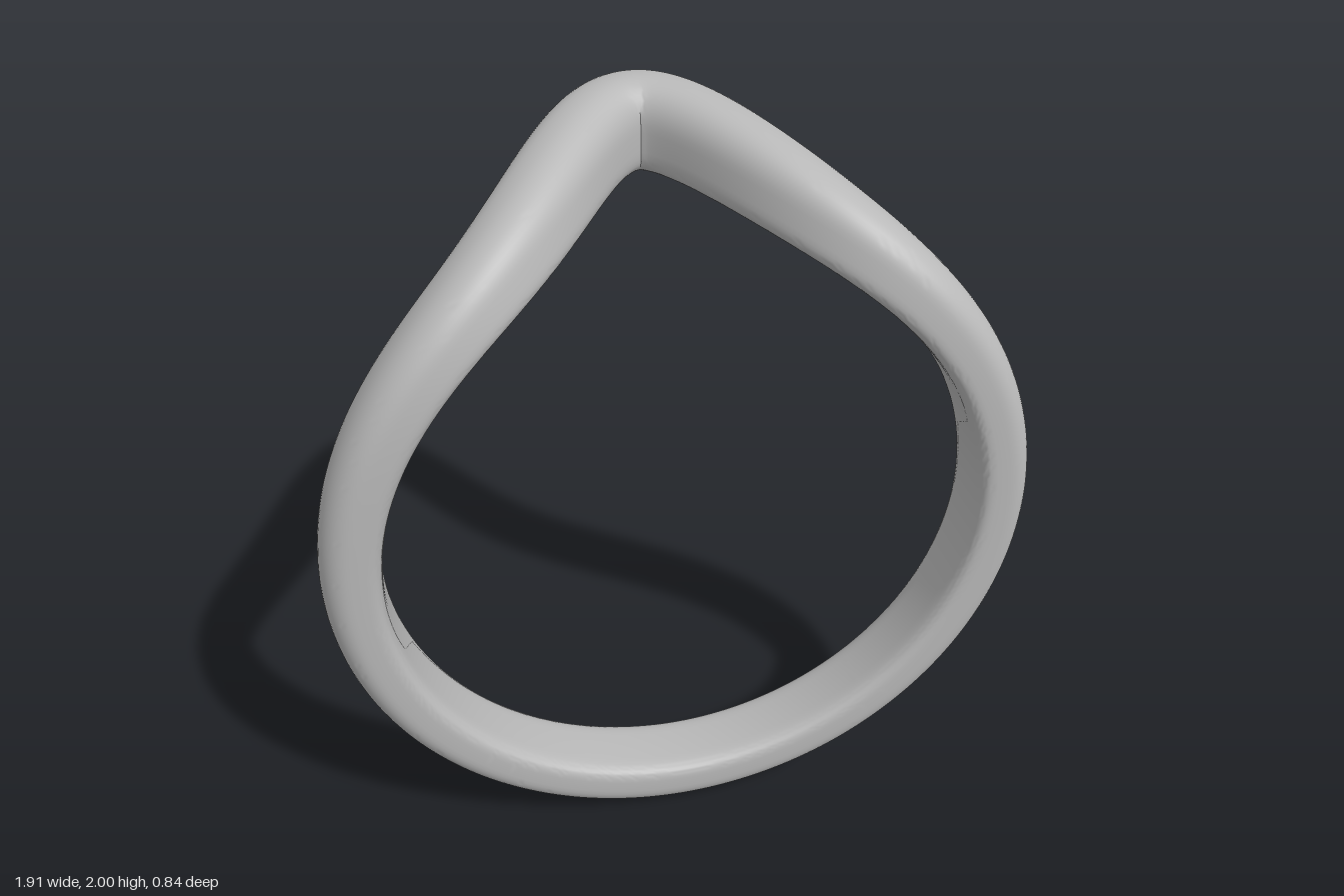
import * as THREE from 'three';
import { toCreasedNormals } from 'three/addons/utils/BufferGeometryUtils.js';

const INNER = 0.8;      // inner radius
const CENTRE = 0.957;   // height of the ring centre
const ROLL = 0.9;       // radius used to unroll the band
const HALF_WIDTH = 0.105;
const BASE_Z = 0.312;   // band position away from the peak
const SWEEP = 0.627;    // how far the peak leans back
const SPREAD = 0.342;   // half-length of the peak

const bump = (s, a) => 1 / Math.cosh(s / a) ** 2;
const power = (v, p) => Math.sign(v) * Math.abs(v) ** p;

// D-shaped section: domed outside, nearly flat inside with small fillets
function sectionPoint(a) {
  const p = Math.sin(a) > 0 ? 2 / 2.3 : 2 / 5;
  return [HALF_WIDTH * power(Math.cos(a), p), 0.5 + 0.5 * power(Math.sin(a), p)];
}

// Sweep the section round the finger; the front edge meets in a mitre at the peak
function bandGeometry(steps = 400, sides = 48) {
  const positions = [], index = [];
  for (let i = 0; i < steps; i++) {
    const s = (i <= steps / 2 ? i : i - steps) / steps * 2 * Math.PI * ROLL;
    const z = BASE_Z - SWEEP * bump(s, SPREAD);
    const slope = 2 * SWEEP / SPREAD * bump(s, SPREAD) * Math.tanh(s / SPREAD);
    const tilt = Math.atan(slope);
    const thickness = 0.157 + 0.086 * bump(s, 0.42);
    for (let j = 0; j < sides; j++) {
      const [w, h] = sectionPoint(j / sides * 2 * Math.PI);
      let along = s - w * Math.sin(tilt);
      along = s >= 0 ? Math.max(0, along) : Math.min(0, along);
      const r = INNER + thickness * h, t = along / ROLL;
      positions.push(r * Math.sin(t), CENTRE + r * Math.cos(t), z + w * Math.cos(tilt));
      const i2 = (i + 1) % steps, j2 = (j + 1) % sides;
      const a = i * sides + j, b = i2 * sides + j, c = i2 * sides + j2, d = i * sides + j2;
      index.push(a, b, d, b, c, d);
    }
  }
  const geometry = new THREE.BufferGeometry();
  geometry.setAttribute('position', new THREE.Float32BufferAttribute(positions, 3));
  geometry.setIndex(index);
  return toCreasedNormals(geometry, 0.7);
}

export function createModel() {
  const group = new THREE.Group();
  group.name = 'peakedRing';
  const metal = new THREE.MeshStandardMaterial({ color: 0xb8b8b8 });
  metal.name = 'grey metal';
  const band = new THREE.Mesh(bandGeometry(), metal);
  band.name = 'band';
  group.add(band);
  return group;
}
